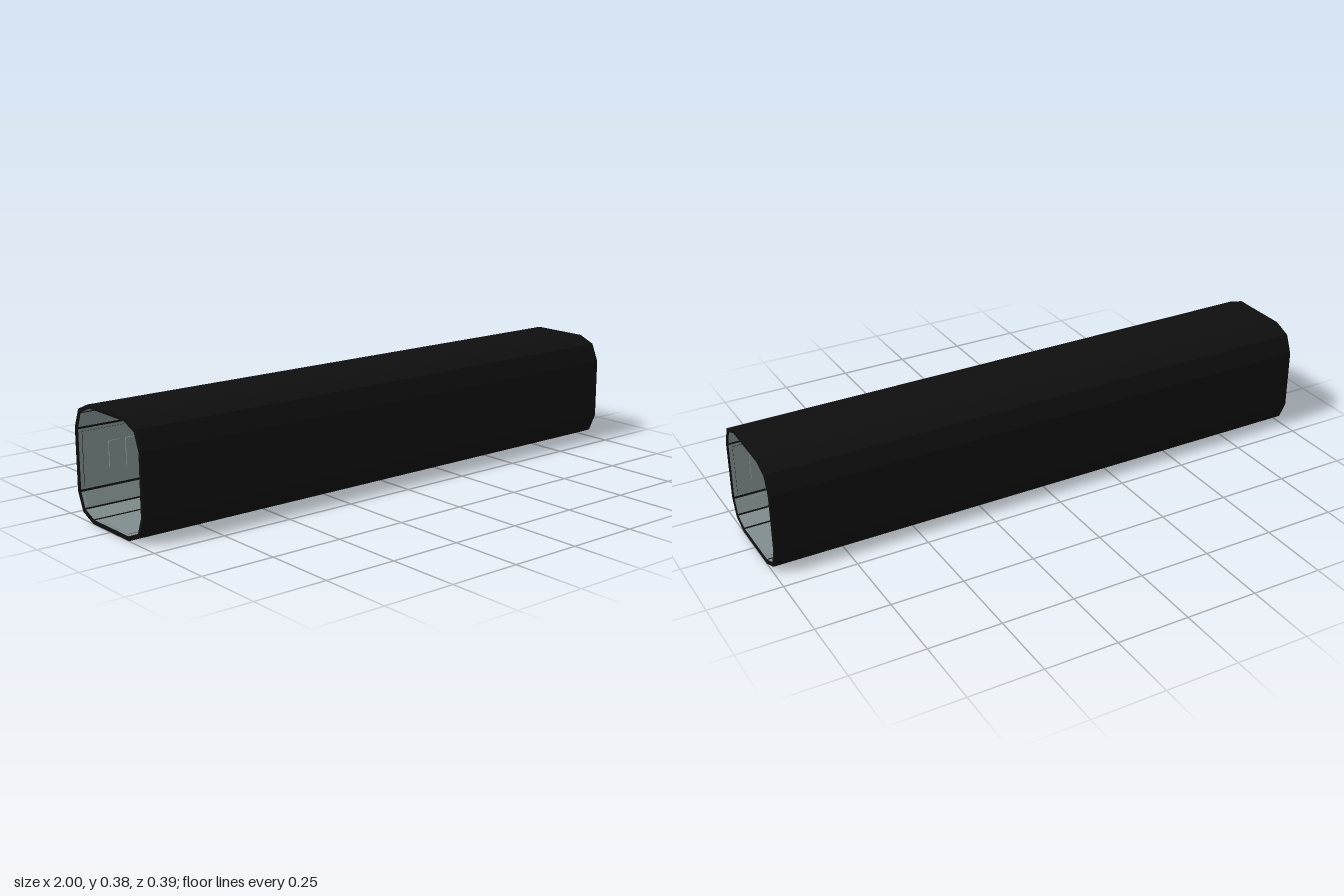
import * as THREE from 'three';

const LENGTH = 2, MODULES = 6, STEP = LENGTH / MODULES;

// Half profiles as [z, y], running from the floor up the +z side to the ceiling
const OUTER = [[0.107, 0], [0.168, 0.025], [0.195, 0.088], [0.195, 0.297], [0.168, 0.36], [0.107, 0.385]];
const INNER = [[0.104, 0.011], [0.16, 0.034], [0.182, 0.09], [0.182, 0.295], [0.16, 0.351], [0.104, 0.374]];

const fullLoop = (half) => [...half, ...half.map(([z, y]) => [-z, y]).reverse()];
const toPoints = (half) => fullLoop(half).map(([z, y]) => new THREE.Vector2(z, y));

export function createModel() {
  const group = new THREE.Group();
  group.name = 'corridor';
  const black = new THREE.MeshStandardMaterial({ color: 0x0e0e0e });
  black.name = 'black shell';
  const grey = new THREE.MeshStandardMaterial({ color: 0x7f8c8d });
  grey.name = 'grey lining';

  // Hollow outer shell, open at both ends
  const section = new THREE.Shape(toPoints(OUTER));
  section.holes.push(new THREE.Path(toPoints(INNER)));
  const shellGeometry = new THREE.ExtrudeGeometry(section, { depth: LENGTH, bevelEnabled: false });
  shellGeometry.translate(0, 0, -LENGTH / 2).rotateY(Math.PI / 2);
  const shell = new THREE.Mesh(shellGeometry, black);
  shell.name = 'shell';
  group.add(shell);

  // Plate lying on the inner side of one profile edge
  const blackEdged = [black, black, black, black, black, grey];
  function plate(name, a, b, x, length, width, lift, thickness, material) {
    const along = new THREE.Vector3(0, b[1] - a[1], b[0] - a[0]).normalize();
    const axis = new THREE.Vector3(1, 0, 0);
    const outward = new THREE.Vector3().crossVectors(axis, along);
    const mesh = new THREE.Mesh(new THREE.BoxGeometry(length, width, thickness), material);
    mesh.quaternion.setFromRotationMatrix(new THREE.Matrix4().makeBasis(axis, along, outward));
    mesh.position.set(x, (a[1] + b[1]) / 2, (a[0] + b[0]) / 2)
      .addScaledVector(outward, -(lift + thickness / 2));
    mesh.name = name;
    group.add(mesh);
  }

  const loop = fullLoop(INNER);
  loop.forEach((a, i) => {
    const b = loop[(i + 1) % loop.length];
    const edge = Math.hypot(b[0] - a[0], b[1] - a[1]);
    const isWall = i === 2 || i === 8;
    const isFlat = i === 5 || i === 11;
    const isLowerSlope = i === 1 || i === 9;

    // Continuous lining, leaving dark seams along the corners
    plate('lining', a, b, 0, LENGTH - 0.006, edge - 0.008, 0, 0.002, blackEdged);

    for (let m = 0; m < MODULES; m++) {
      const x = -LENGTH / 2 + STEP * (m + 0.5);
      if (isWall) {
        // Raised wall panel with a row of upright ribs
        plate('wallPanel', a, b, x, STEP - 0.03, 0.18, 0.002, 0.003, blackEdged);
        for (let r = 0; r < 3; r++) {
          plate('wallRib', a, b, x + STEP / 2 - 0.085 - r * 0.062, 0.038, 0.09, 0.005, 0.004, grey);
        }
      } else if (isFlat) {
        plate(i === 11 ? 'floorPanel' : 'ceilingPanel', a, b, x, STEP - 0.02, 0.17, 0.002, 0.002, grey);
      } else if (isLowerSlope) {
        plate('lowerRail', a, b, x, STEP - 0.02, 0.038, 0.002, 0.006, grey);
      }
    }
  });

  return group;
}
